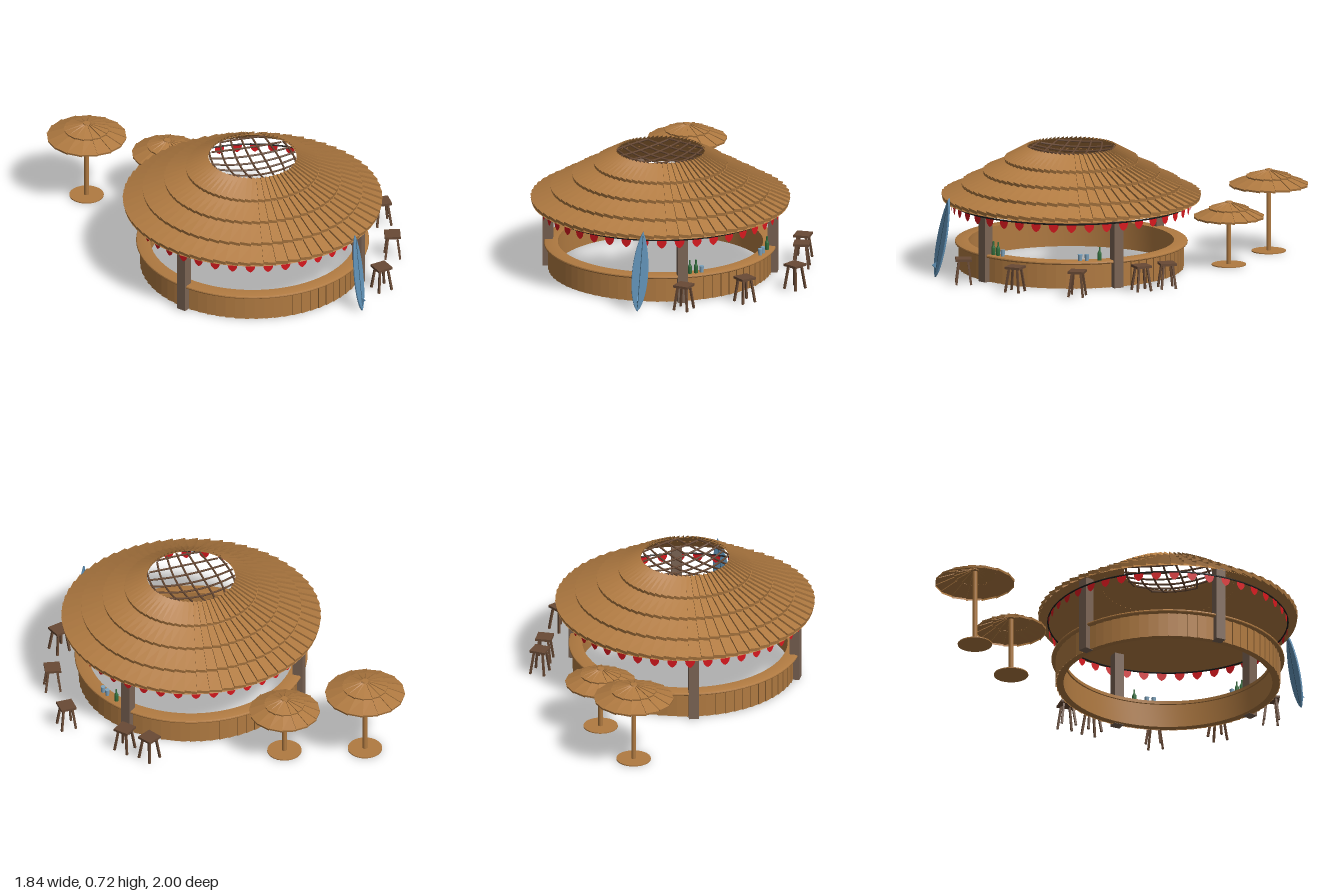
import * as THREE from 'three';
import { toCreasedNormals } from 'three/addons/utils/BufferGeometryUtils.js';

const mat = (name, color, side = THREE.FrontSide) => {
  const m = new THREE.MeshStandardMaterial({ color, side });
  m.name = name;
  return m;
};

// Ring of overlapping panels: a profile swept round, each panel starting raised by (dr, dy) and falling to zero.
function panelRing(profile, count, dr, dy) {
  const cols = [];
  for (let i = 0; i < count; i++) cols.push([i, 1], [i + 1, 0]);
  cols.push([count, 1]);
  const point = ([i, lift], [r, y]) => {
    const a = (i / count) * Math.PI * 2, rr = r + dr * lift;
    return [rr * Math.sin(a), y + dy * lift, rr * Math.cos(a)];
  };
  const pos = [];
  for (let c = 0; c < cols.length - 1; c++) {
    for (let j = 0; j < profile.length - 1; j++) {
      const A = point(cols[c], profile[j]), B = point(cols[c + 1], profile[j]);
      const C = point(cols[c + 1], profile[j + 1]), D = point(cols[c], profile[j + 1]);
      pos.push(...A, ...B, ...C, ...A, ...C, ...D);
    }
  }
  const g = new THREE.BufferGeometry();
  g.setAttribute('position', new THREE.Float32BufferAttribute(pos, 3));
  g.computeVertexNormals();
  return g;
}

const lathe = (pts, seg) =>
  toCreasedNormals(new THREE.LatheGeometry(pts.map(p => new THREE.Vector2(...p)), seg), 0.6);

export function createModel() {
  const thatch = mat('thatch', 0xb07a41, THREE.DoubleSide);
  const postWood = mat('post wood', 0x7b6454);
  const darkWood = mat('dark wood', 0x694a35);
  const red = mat('bunting red', 0xd8181e, THREE.DoubleSide);
  const cord = mat('cord black', 0x1c1a18);
  const blue = mat('board blue', 0x5f90b5);
  const stripe = mat('board stripe', 0x34566c);
  const green = mat('bottle green', 0x2f6b3a);
  const glass = mat('glass blue', 0x7fa5c0);

  const model = new THREE.Group();
  const add = (parent, name, geo, material, x = 0, y = 0, z = 0) => {
    const m = new THREE.Mesh(geo, material);
    m.name = name;
    m.position.set(x, y, z);
    parent.add(m);
    return m;
  };
  const group = (parent, name, x = 0, y = 0, z = 0) => {
    const g = new THREE.Group();
    g.name = name;
    g.position.set(x, y, z);
    parent.add(g);
    return g;
  };

  const bar = group(model, 'bar', 0.02, 0, 0.243);

  // Thatched roof in four tiers, open at the top
  const radii = [0.75, 0.635, 0.51, 0.385, 0.255];
  const slope = r => 0.425 + (0.755 - r) * 0.575;
  for (let i = 0; i < 4; i++) {
    const a = radii[i], b = radii[i + 1], last = i === 3;
    add(bar, 'roofTier', panelRing(
      [[a - 0.004, slope(a) - 0.02], [a, slope(a)], [b, slope(b) - (last ? 0.004 : 0.018)]], 64, 0.003, 0.012), thatch);
  }
  add(bar, 'ceiling', lathe([[0.746, 0.407], [0.5, 0.545], [0.256, 0.705]], 64), thatch);

  // Bowed lattice across the roof opening
  const R = 0.256;
  for (let k = -3; k <= 3; k++) {
    const c = k * 0.072, end = Math.sqrt(R * R - c * c);
    const pts = [];
    for (let i = 0; i <= 12; i++) {
      const z = end * (i / 6 - 1);
      const x = c * (1.1 - 0.25 * (z / R) ** 2);
      pts.push(new THREE.Vector3(x, 0.7 - 0.035 * Math.max(0, 1 - (x * x + z * z) / (R * R)), z));
    }
    const geo = new THREE.TubeGeometry(new THREE.CatmullRomCurve3(pts), 16, 0.006, 5);
    add(bar, 'latticeBar', geo, darkWood);
    add(bar, 'latticeCrossBar', geo, darkWood).rotation.y = Math.PI / 2;
  }

  // Four posts, turned to face the centre
  for (const sx of [-1, 1]) for (const sz of [-1, 1]) {
    const p = add(bar, 'post', new THREE.BoxGeometry(0.059, 0.45, 0.059), postWood, sx * 0.525, 0.225, sz * 0.39);
    p.rotation.y = Math.atan2(sx * 0.525, sz * 0.39);
  }

  // Round counter with a planked front and rounded top
  add(bar, 'counterPlanks', panelRing([[0.645, 0], [0.645, 0.15]], 72, 0.007, 0), thatch);
  add(bar, 'counterBody', lathe([[0.645, 0.002], [0.605, 0.002], [0.605, 0.145]].reverse(), 72), thatch);
  add(bar, 'counterTop', lathe([[0.595, 0.143], [0.666, 0.143], [0.673, 0.147], [0.675, 0.152],
    [0.673, 0.158], [0.666, 0.162], [0.595, 0.162], [0.595, 0.143]], 72), thatch);

  // Bunting under the eaves
  add(bar, 'buntingCord', new THREE.TorusGeometry(0.695, 0.005, 5, 72), cord, 0, 0.388, 0).rotation.x = Math.PI / 2;
  const flag = new THREE.Shape();
  flag.moveTo(-0.028, 0.005);
  flag.quadraticCurveTo(-0.032, -0.03, 0, -0.046);
  flag.quadraticCurveTo(0.032, -0.03, 0.028, 0.005);
  const flagGeo = new THREE.ShapeGeometry(flag, 6);
  for (let i = 0; i < 42; i++) {
    const a = (i / 42) * Math.PI * 2;
    add(bar, 'buntingFlag', flagGeo, red, 0.695 * Math.sin(a), 0.383, 0.695 * Math.cos(a)).rotation.y = a;
  }

  // Bottles and glasses on the counter, placed by their offset in z
  const bottleGeo = lathe([[0, 0], [0.012, 0], [0.012, 0.042], [0.005, 0.056], [0.005, 0.078], [0, 0.078]], 12);
  const glassGeo = new THREE.CylinderGeometry(0.014, 0.011, 0.038, 12);
  const onCounter = z => Math.sqrt(0.637 * 0.637 - z * z);
  for (const z of [0.34, 0.308, -0.296]) add(bar, 'bottle', bottleGeo, green, onCounter(z), 0.162, z);
  for (const z of [0.277, -0.19, -0.227]) add(bar, 'drinkingGlass', glassGeo, glass, onCounter(z), 0.181, z);

  // Stools: x, z, turn in degrees
  const stools = [[0.517, -0.438, 27], [0.623, -0.31, 37], [0.866, 0.016, 0], [0.818, 0.396, -13], [0.654, 0.739, 15]];
  const up = new THREE.Vector3(0, 1, 0);
  for (const [x, z, turn] of stools) {
    const s = group(model, 'stool', x, 0, z);
    s.rotation.y = THREE.MathUtils.degToRad(turn);
    add(s, 'seat', new THREE.BoxGeometry(0.093, 0.014, 0.093), darkWood, 0, 0.146, 0);
    for (const sx of [-1, 1]) for (const sz of [-1, 1]) {
      const foot = new THREE.Vector3(sx * 0.043, 0.002, sz * 0.043);
      const top = new THREE.Vector3(sx * 0.026, 0.141, sz * 0.026);
      const dir = top.clone().sub(foot);
      const leg = add(s, 'stoolLeg', new THREE.BoxGeometry(0.012, dir.length(), 0.012), darkWood);
      leg.position.copy(foot).add(top).multiplyScalar(0.5);
      leg.quaternion.setFromUnitVectors(up, dir.normalize());
    }
  }

  // Thatched parasols: x, z, radius, eave height
  for (const [x, z, r, y] of [[-0.69, -0.768, 0.232, 0.385], [-0.243, -0.633, 0.206, 0.275]]) {
    const p = group(model, 'parasol', x, 0, z);
    add(p, 'parasolLowerTier', panelRing([[r - 0.002, y], [r, y + 0.012], [r * 0.52, y + 0.054]], 16, 0, 0.005), thatch);
    add(p, 'parasolUpperTier', panelRing([[r * 0.56, y + 0.05], [r * 0.57, y + 0.06], [0.018, y + 0.092]], 16, 0, 0.005), thatch);
    add(p, 'parasolCap', new THREE.CylinderGeometry(0.02, 0.025, 0.014, 12), thatch, 0, y + 0.093, 0);
    add(p, 'parasolPole', new THREE.CylinderGeometry(0.014, 0.014, y + 0.08, 12), thatch, 0, (y + 0.08) / 2, 0);
    add(p, 'parasolBase', new THREE.CylinderGeometry(0.1, 0.1, 0.006, 24), thatch, 0, 0.003, 0);
  }

  // Surfboard leaning by the bar
  const board = group(model, 'surfboard', 0.466, 0.23, 0.908);
  board.rotation.set(-0.15, Math.PI / 4, -0.085, 'YXZ');
  const outline = new THREE.Shape();
  outline.moveTo(0, -0.23);
  outline.bezierCurveTo(0.05, -0.17, 0.065, 0.06, 0, 0.23);
  outline.bezierCurveTo(-0.065, 0.06, -0.05, -0.17, 0, -0.23);
  const boardGeo = new THREE.ExtrudeGeometry(outline, {
    depth: 0.004, bevelEnabled: true, bevelSize: 0.004, bevelThickness: 0.004, bevelSegments: 2, curveSegments: 14 });
  add(board, 'boardBody', boardGeo, blue, 0, 0, -0.002);
  add(board, 'boardStripe', new THREE.BoxGeometry(0.004, 0.42, 0.0135), stripe);
  const fin = new THREE.Shape();
  fin.moveTo(0, 0);
  fin.lineTo(0.03, -0.022);
  fin.lineTo(0, -0.042);
  const finGeo = new THREE.ExtrudeGeometry(fin, { depth: 0.004, bevelEnabled: false });
  add(board, 'boardFin', finGeo, blue, -0.002, -0.145, 0.004).rotation.y = -Math.PI / 2;

  return model;
}
